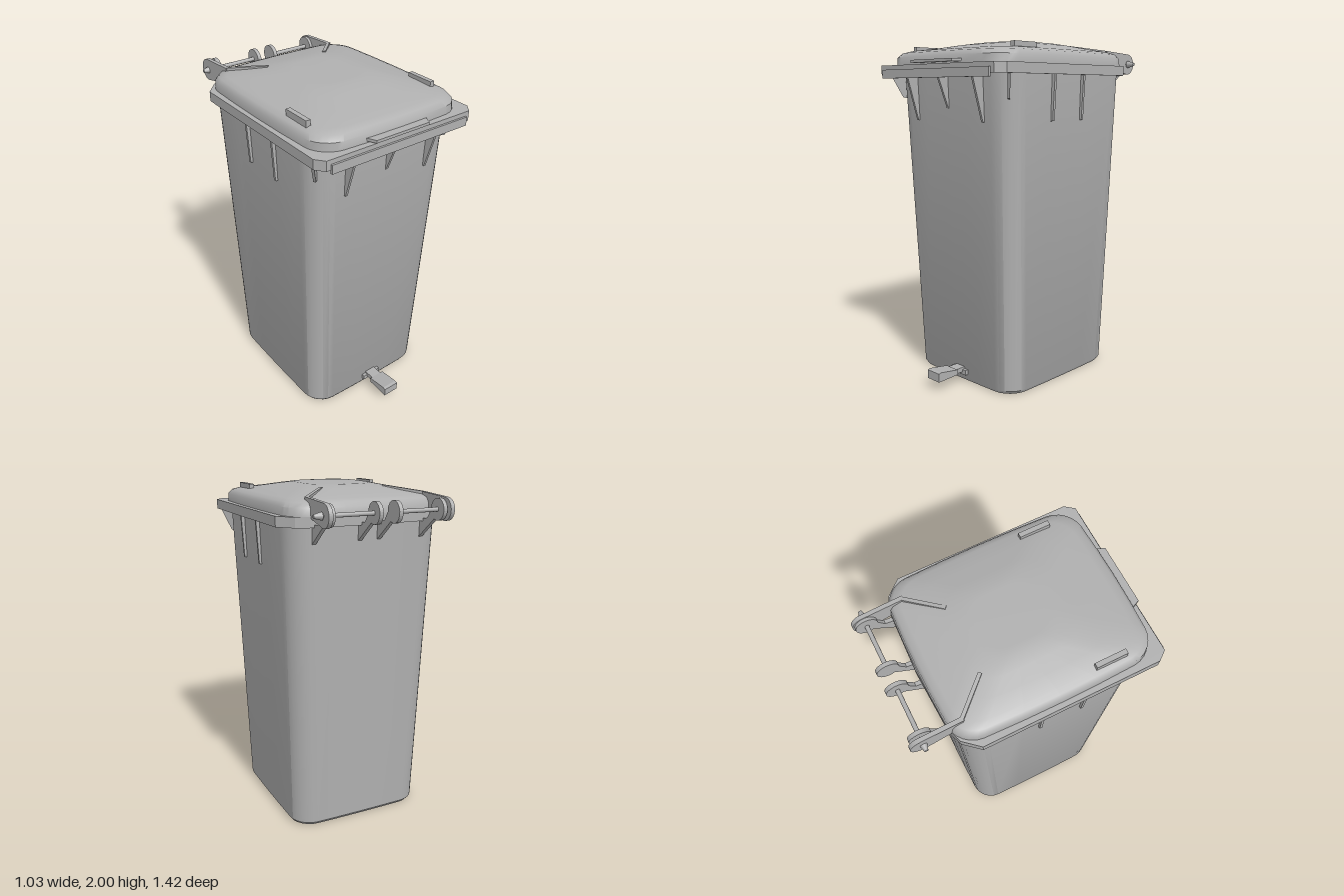
import * as THREE from 'three';
import { toCreasedNormals } from 'three/addons/utils/BufferGeometryUtils.js';

// Rounded rectangle at height y; sides bow outwards by the fraction b
function ring(y, hx, zb, zf, r, b) {
  const hz = (zf - zb) / 2, cz = (zf + zb) / 2, pts = [];
  const corners = [[1, 1], [-1, 1], [-1, -1], [1, -1]];
  const raw = [];
  corners.forEach(([sx, sz], q) => {
    for (let i = 0; i <= 6; i++) {
      const a = (q + i / 6) * Math.PI / 2;
      raw.push([sx * (hx - r) + r * Math.cos(a), sz * (hz - r) + r * Math.sin(a)]);
    }
  });
  raw.forEach(([x, z], i) => {
    pts.push([x, z]);
    if (i % 7 === 6) {
      const [nx, nz] = raw[(i + 1) % raw.length];
      for (const t of [0.25, 0.5, 0.75]) pts.push([x + (nx - x) * t, z + (nz - z) * t]);
    }
  });
  return pts.map(([x, z]) => [
    x * (1 + b * (1 - (z / hz) ** 2)), y, cz + z * (1 + b * (1 - (x / hx) ** 2))]);
}

// Closed skin over a stack of rings, bottom to top
function loft(rings, crease) {
  const n = rings[0].length, pos = rings.flat(2), idx = [];
  for (let i = 0; i < rings.length - 1; i++) {
    for (let j = 0; j < n; j++) {
      const a = i * n + j, b = i * n + (j + 1) % n;
      idx.push(a, a + n, b, b, a + n, b + n);
    }
  }
  [rings[0], rings[rings.length - 1]].forEach((rg, top) => {
    const c = pos.length / 3, base = top ? (rings.length - 1) * n : 0;
    const zs = rg.map(p => p[2]);
    pos.push(0, rg[0][1], (Math.min(...zs) + Math.max(...zs)) / 2);
    for (let j = 0; j < n; j++) {
      const a = base + j, b = base + (j + 1) % n;
      if (top) idx.push(c, b, a); else idx.push(c, a, b);
    }
  });
  const g = new THREE.BufferGeometry();
  g.setAttribute('position', new THREE.Float32BufferAttribute(pos, 3));
  g.setIndex(idx);
  return toCreasedNormals(g, crease);
}

const shapeOf = pts => new THREE.Shape(pts.map(p => new THREE.Vector2(...p)));

export function createModel() {
  const model = new THREE.Group();
  model.name = 'wheeledBin';
  const grey = new THREE.MeshStandardMaterial({ color: 0xb0b0b0 });
  grey.name = 'greyPlastic';

  const add = (name, geo, x = 0, y = 0, z = 0) => {
    const m = new THREE.Mesh(geo, grey);
    m.name = name;
    m.position.set(x, y, z);
    model.add(m);
    return m;
  };
  const box = (name, w, h, d, x, y, z) => add(name, new THREE.BoxGeometry(w, h, d), x, y, z);
  // Upright plate: profile in (outward, y), turned to face angle about y
  const plate = (name, shape, t, x, z, angle) => {
    const g = new THREE.ExtrudeGeometry(shape, { depth: t, bevelEnabled: false, curveSegments: 12 });
    g.translate(0, 0, -t / 2);
    add(name, g, x, 0, z).rotation.y = angle;
  };
  // Flat slab: outline in (x, z), hanging down from height top
  const slab = (name, shape, t, top) => {
    const g = new THREE.ExtrudeGeometry(shape, { depth: t, bevelEnabled: false });
    g.rotateX(Math.PI / 2);
    return add(name, g, 0, top, 0);
  };
  const FRONT = -Math.PI / 2;

  // Tapered body with a softened foot
  add('body', loft([
    ring(0, 0.405, -0.395, 0.475, 0.12, 0.015),
    ring(0.02, 0.418, -0.41, 0.487, 0.125, 0.015),
    ring(1.85, 0.47, -0.472, 0.557, 0.13, 0.015),
  ], 0.6));

  // Rim: flange with a downturned skirt
  const half = [[0.36, -0.505], [0.44, -0.475], [0.515, -0.39], [0.515, 0.61], [0.475, 0.662]];
  const outline = s => [[0, -0.52], ...half, ...half.map(([x, z]) => [-x, z]).reverse()]
    .map(([x, z]) => [x * s, 0.08 + (z - 0.08) * s]);
  slab('rimFlange', shapeOf(outline(1)), 0.02, 1.865);
  const skirt = shapeOf(outline(1));
  skirt.holes.push(new THREE.Path(outline(0.965).map(p => new THREE.Vector2(...p))));
  slab('rimSkirt', skirt, 0.04, 1.848);
  box('rimLip', 0.9, 0.05, 0.014, 0, 1.815, 0.667);

  // Ribs below the rim
  for (const [x, low] of [[-0.27, 1.55], [0, 1.62], [0.28, 1.55]]) {
    plate('frontRib', shapeOf([[0.54, low], [0.56, low], [0.64, 1.82], [0.53, 1.82]]), 0.014, x, 0, FRONT);
  }
  for (const angle of [0, Math.PI]) {
    for (const z of [0.21, -0.04]) {
      plate('sideRib', shapeOf([[0.455, 1.55], [0.482, 1.555], [0.497, 1.82], [0.455, 1.82]]), 0.016, 0, z, angle);
    }
    plate('cornerRib', shapeOf([[-0.02, 1.67], [0.025, 1.68], [0.1, 1.82], [-0.02, 1.82]]), 0.014,
      angle ? -0.43 : 0.43, 0.51, angle ? -2.36 : -0.78);
  }

  // Domed lid
  add('lid', loft([
    ring(1.863, 0.47, -0.495, 0.612, 0.13, 0.035),
    ring(1.91, 0.468, -0.49, 0.608, 0.13, 0.035),
    ring(1.935, 0.45, -0.475, 0.585, 0.13, 0.035),
    ring(1.948, 0.42, -0.44, 0.54, 0.13, 0.035),
    ring(1.965, 0.34, -0.36, 0.42, 0.13, 0.035),
    ring(1.985, 0.26, -0.28, 0.31, 0.13, 0.035),
    ring(1.999, 0.19, -0.2, 0.22, 0.12, 0.035),
    ring(2.0, 0.15, -0.16, 0.18, 0.1, 0.035),
  ], 0.7));
  slab('lidLip', shapeOf([[-0.24, 0.58], [0.23, 0.58], [0.19, 0.63], [0.17, 0.675], [-0.18, 0.675], [-0.2, 0.63]]), 0.016, 1.889);
  for (const x of [-0.425, 0.398]) box('lidLug', 0.028, 0.045, 0.175, x, 1.957, 0.36);

  // Hinge: lid arms, ridges, ears, rods and end caps around one axis
  const hy = 1.885, hz = -0.643;
  const arm = new THREE.Shape();
  arm.moveTo(-0.42, 1.962);
  arm.lineTo(-0.66, 1.948);
  arm.absarc(hz - 0.007, hy, 0.063, Math.PI / 2, Math.PI * 1.6, false);
  arm.lineTo(-0.46, 1.865);
  const ear = new THREE.Shape();
  ear.moveTo(-0.45, 1.70);
  ear.lineTo(-0.45, 1.815);
  ear.lineTo(-0.55, 1.83);
  ear.absarc(hz, hy, 0.06, -0.1, Math.PI * 1.65, false);
  for (const x of [-0.37, 0.35]) {
    plate('lidArm', arm, 0.024, x, 0, FRONT);
    const s = Math.sign(x);
    const a = new THREE.Vector3(x, 1.95, -0.43), b = new THREE.Vector3(x - s * 0.165, 1.98, -0.25);
    const mid = a.clone().add(b).multiplyScalar(0.5);
    box('lidRidge', 0.02, 0.025, a.distanceTo(b), mid.x, mid.y, mid.z).lookAt(b);
  }
  for (const x of [-0.33, -0.057, 0.06, 0.332]) plate('hingeEar', ear, 0.023, x, 0, FRONT);
  for (const s of [-1, 1]) {
    const rod = add('hingeRod', new THREE.CylinderGeometry(0.012, 0.012, 0.33, 16), s * 0.22, hy, hz);
    rod.rotation.z = Math.PI / 2;
    const cap = add('hingeCap', new THREE.CylinderGeometry(0.01, 0.022, 0.045, 16), s * 0.392, hy, hz);
    cap.rotation.z = -s * Math.PI / 2;
  }

  // Foot pedal
  box('pedalMount', 0.125, 0.03, 0.03, 0.007, 0.06, 0.5);
  box('pedalArm', 0.07, 0.028, 0.16, 0.007, 0.074, 0.55);
  plate('pedal', shapeOf([[0.565, 0.062], [0.708, 0.057], [0.708, 0.108], [0.69, 0.112], [0.565, 0.092]]), 0.1, 0.007, 0, FRONT);

  return model;
}
